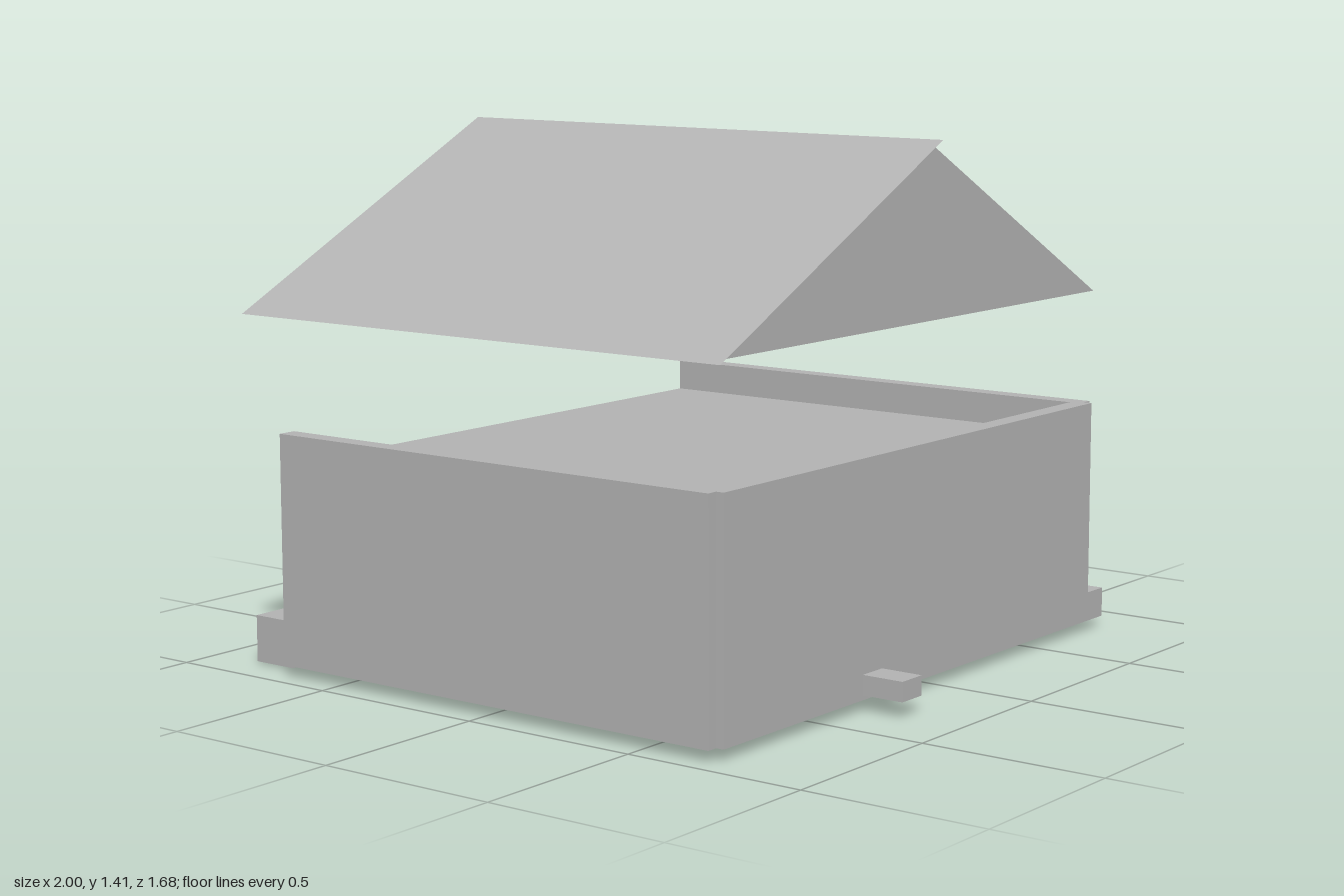
import * as THREE from 'three';

export function createModel() {
  const model = new THREE.Group();
  const grey = new THREE.MeshStandardMaterial({ color: 0xb2b2b2, side: THREE.DoubleSide });
  grey.name = 'plain grey';

  const add = (name, geometry) => {
    const mesh = new THREE.Mesh(geometry, grey);
    mesh.name = name;
    model.add(mesh);
    return mesh;
  };

  // Box given by its lower and upper limits on each axis
  const box = (name, [x0, x1], [y0, y1], [z0, z1]) =>
    add(name, new THREE.BoxGeometry(x1 - x0, y1 - y0, z1 - z0))
      .position.set((x0 + x1) / 2, (y0 + y1) / 2, (z0 + z1) / 2);

  // House shell, open at the back
  const wallY = [0.03, 0.64];
  box('leftWall', [0.733, 0.785], wallY, [-0.684, 0.70]);
  box('rightWall', [-0.95, -0.898], wallY, [-0.684, 0.70]);
  box('frontWall', [-0.92, 0.757], wallY, [0.668, 0.722]);
  box('floor', [-0.92, 0.757], [0.03, 0.075], [-0.684, 0.70]);
  box('upperFloor', [-0.92, 0.757], [0.50, 0.555], [-0.684, 0.70]);

  // Thin gables floating above the walls
  const ridgeX = -0.083, ridgeY = 1.408, eaveY = 0.95;
  const gable = new THREE.Shape([
    new THREE.Vector2(-0.92, eaveY),
    new THREE.Vector2(0.755, eaveY),
    new THREE.Vector2(ridgeX, ridgeY),
  ]);
  add('frontGable', new THREE.ShapeGeometry(gable)).position.z = 0.722;
  add('backGable', new THREE.ShapeGeometry(gable).rotateY(Math.PI).scale(-1, 1, 1).scale(1, 1, 1)).position.z = -0.684;

  // Single roof slope from the ridge to the eave
  const run = ridgeX + 1, rise = ridgeY - eaveY;
  const slope = add('roofSlope', new THREE.PlaneGeometry(Math.hypot(run, rise), 1.532).rotateX(-Math.PI / 2));
  slope.rotation.z = Math.atan2(rise, run);
  slope.position.set((ridgeX - 1) / 2, (ridgeY + eaveY) / 2, 0.006);

  // Blocks outside and at the edges of the shell
  box('sideBlock', [0.87, 1.0], [0.0, 0.13], [-0.06, 0.17]);
  box('cornerBlock', [0.67, 0.835], [0.03, 0.11], [0.49, 0.722]);
  box('frontBlock', [-0.345, -0.26], [0.043, 0.095], [0.70, 0.84]);
  box('backBlock', [-0.89, -0.685], [0.005, 0.13], [-0.845, -0.715]);
  box('backInnerBlock', [-0.765, -0.57], [0.017, 0.115], [-0.765, -0.59]);

  // Low blocks set into the floor: x range, y range, z range
  [
    [[0.33, 0.545], [0.02, 0.11], [0.13, 0.31]],
    [[0.07, 0.28], [0.015, 0.11], [-0.03, 0.15]],
    [[0.10, 0.29], [0.027, 0.12], [-0.20, -0.04]],
    [[-0.30, -0.095], [0.018, 0.11], [0.17, 0.34]],
    [[-0.515, -0.37], [0.015, 0.10], [0.29, 0.43]],
    [[-0.26, -0.155], [0.02, 0.10], [-0.035, 0.045]],
    [[-0.89, -0.765], [0.02, 0.11], [0.13, 0.31]],
    [[0.20, 0.34], [0.04, 0.095], [-0.57, -0.43]],
  ].forEach((limits, i) => box(`floorBlock${i + 1}`, ...limits));

  return model;
}
